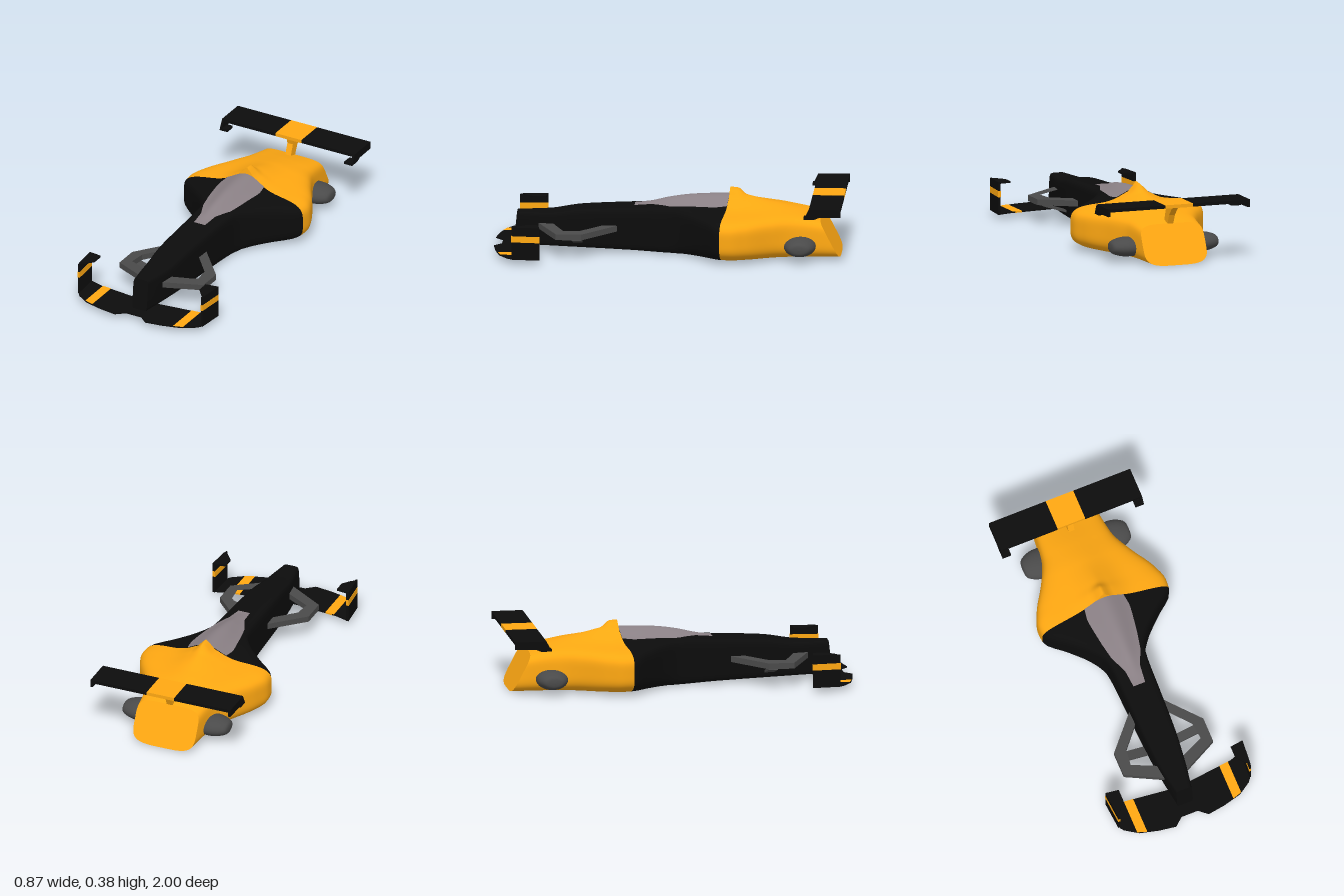
import * as THREE from 'three';

const mat = (color, opts = {}) => new THREE.MeshStandardMaterial({ color, ...opts });
const BLACK = mat(0x0c0c0c), ORANGE = mat(0xffa812), GREY = mat(0x4a4a4a);
const CANOPY = mat(0x8a8085, { side: THREE.DoubleSide });

// Hull stations: z, half width, bottom, shoulder top, hump height, hump width,
// squareness, end slope, seam bow, intake fin height
const STATIONS = [
  [0.87, 0.048, 0.03, 0.22, 0, 0.04, 7, 0.1, 0, 0],
  [0.7, 0.076, 0.028, 0.223, 0, 0.04, 7, 0, 0, 0],
  [0.5, 0.094, 0.023, 0.25, 0, 0.04, 7, 0, 0, 0],
  [0.2, 0.105, 0.012, 0.265, 0, 0.04, 7, 0, 0, 0],
  [0.1, 0.108, 0.006, 0.269, 0.015, 0.045, 7, 0, 0, 0],
  [0, 0.118, 0.001, 0.271, 0.037, 0.06, 6.5, 0, 0, 0],
  [-0.1, 0.178, 0, 0.27, 0.053, 0.08, 5.5, 0, 0, 0],
  [-0.2, 0.28, 0, 0.266, 0.064, 0.1, 4.8, 0, 0, 0],
  [-0.305, 0.39, 0, 0.262, 0.072, 0.115, 4.5, 0, 0.04, 0.042],
  [-0.36, 0.394, 0, 0.262, 0.072, 0.12, 4.5, 0, 0.03, 0.038],
  [-0.45, 0.366, 0, 0.262, 0.06, 0.12, 4.5, 0, 0, 0.008],
  [-0.6, 0.278, 0, 0.26, 0.031, 0.12, 4.5, 0, 0, 0],
  [-0.73, 0.213, 0, 0.247, 0.014, 0.12, 4.8, 0.2, 0, 0],
  [-0.865, 0.192, 0, 0.223, 0, 0.12, 5, -0.52, 0, 0],
];
STATIONS[12][7] = -0.2;

// Monotone smooth interpolation between stations
function station(z) {
  const S = STATIONS, last = S.length - 2;
  let i = 0;
  while (i < last && z < S[i + 1][0]) i++;
  const dz = S[i + 1][0] - S[i][0], u = (z - S[i][0]) / dz;
  const slope = (a, c) => (S[a + 1][c] - S[a][c]) / (S[a + 1][0] - S[a][0]);
  const tangent = (k, c) => {
    if (k === 0) return slope(0, c);
    if (k === S.length - 1) return slope(k - 1, c);
    const a = slope(k - 1, c), b = slope(k, c);
    return a * b <= 0 ? 0 : (2 * a * b) / (a + b);
  };
  return S[i].map((v, c) => {
    if (c === 0) return z;
    const u2 = u * u, u3 = u2 * u;
    return v * (2 * u3 - 3 * u2 + 1) + S[i + 1][c] * (3 * u2 - 2 * u3)
      + dz * (tangent(i, c) * (u3 - 2 * u2 + u) + tangent(i + 1, c) * (u3 - u2));
  });
}

// Adds the hump, fin, end slope and seam bow to a point of the basic section
function shapePoint(st, x, y, upper, fin) {
  const [z, w, , t, h, s, , k, bow, p] = st;
  const zz = z + k * (t - y) - bow * (1 - Math.abs(x) / w);
  if (upper) y += h * Math.exp(-((x / s) ** 2)) + fin * p * Math.max(0, 1 - Math.abs(x) / 0.05);
  return [x, y, zz];
}

function ring(z, fin, N) {
  const st = station(z), [, w, b, t, , , n] = st;
  const mid = (b + t) / 2, h = (t - b) / 2, out = [];
  for (let j = 0; j < N; j++) {
    const a = (j / N) * Math.PI * 2, c = Math.cos(a), s = Math.sin(a);
    const e = s > 0 ? n : n > 6 ? n : n - 1;
    const r = (Math.abs(c) ** e + Math.abs(s) ** e) ** (-1 / e);
    out.push(shapePoint(st, w * r * c, mid + h * r * s, s > 0.5, fin));
  }
  return out;
}

// Closed loft from front to rear with flat caps
function hull(name, z0, z1, fin, material) {
  const N = 144, M = 44, pos = [], idx = [];
  for (let i = 0; i <= M; i++) pos.push(...ring(z0 + ((z1 - z0) * i) / M, fin, N).flat());
  for (let i = 0; i < M; i++) for (let j = 0; j < N; j++) {
    const a = i * N + j, b = i * N + (j + 1) % N;
    idx.push(a, a + N, b, b, a + N, b + N);
  }
  for (const [z, front] of [[z0, true], [z1, false]]) {
    const rim = ring(z, fin, N), base = pos.length / 3;
    const centre = [0, 1, 2].map((c) => rim.reduce((sum, p) => sum + p[c], 0) / N);
    pos.push(...rim.flat(), ...centre);
    for (let j = 0; j < N; j++) {
      const a = base + j, b = base + (j + 1) % N;
      idx.push(base + N, front ? a : b, front ? b : a);
    }
  }
  return mesh(name, surface(pos, idx), material);
}

function surface(pos, idx) {
  const g = new THREE.BufferGeometry();
  g.setAttribute('position', new THREE.Float32BufferAttribute(pos, 3));
  g.setIndex(idx);
  g.computeVertexNormals();
  return g;
}

function mesh(name, geometry, material) {
  const m = new THREE.Mesh(geometry, material);
  m.name = name;
  return m;
}

// Canopy skin lying just above the hull
function canopy() {
  const outline = [[0.2, 0.036], [0.1, 0.046], [0, 0.088], [-0.1, 0.108], [-0.25, 0.13], [-0.305, 0.12]];
  const pos = [], idx = [], M = 30, N = 24;
  for (let i = 0; i <= M; i++) {
    const z = 0.2 - (0.505 * i) / M, st = station(z), [, w, b, t, , , n] = st;
    let k = 0;
    while (k < outline.length - 2 && z < outline[k + 1][0]) k++;
    const [za, wa] = outline[k], [zb, wb] = outline[k + 1];
    const half = wa + ((wb - wa) * (z - za)) / (zb - za);
    for (let j = 0; j <= N; j++) {
      const x = half * ((2 * j) / N - 1);
      const y = (b + t) / 2 + ((t - b) / 2) * (1 - Math.abs(x / w) ** n) ** (1 / n);
      const p = shapePoint(st, x, y, true, 0);
      pos.push(p[0], p[1] + 0.004, p[2]);
    }
  }
  for (let i = 0; i < M; i++) for (let j = 0; j < N; j++) {
    const a = i * (N + 1) + j, c = a + N + 1;
    idx.push(a, a + 1, c, a + 1, c + 1, c);
  }
  return mesh('canopy', surface(pos, idx), CANOPY);
}

// Horizontal plate from an [x, z] plan
function plate(name, plan, y, thick, material, side = 1, hole) {
  const pts = (list) => list.map(([x, z]) => new THREE.Vector2(x * side, -z));
  const shape = new THREE.Shape(pts(plan));
  if (hole) shape.holes.push(new THREE.Path(pts(hole)));
  const g = new THREE.ExtrudeGeometry(shape, { depth: thick, bevelEnabled: false });
  return mesh(name, g.rotateX(-Math.PI / 2).translate(0, y, 0), material);
}

// Upright plate from a [z, y] profile, centred on x
function upright(name, profile, x, thick, material) {
  const shape = new THREE.Shape(profile.map(([z, y]) => new THREE.Vector2(-z, y)));
  const g = new THREE.ExtrudeGeometry(shape, { depth: thick, bevelEnabled: false });
  return mesh(name, g.rotateY(Math.PI / 2).translate(x - thick / 2, 0, 0), material);
}

function box(name, w, h, d, x, y, z, material) {
  return mesh(name, new THREE.BoxGeometry(w, h, d).translate(x, y, z), material);
}

export function createModel() {
  const g = new THREE.Group();
  g.name = 'racingCraft';
  g.add(hull('frontHull', 0.87, -0.305, 0, BLACK), hull('rearHull', -0.305, -0.865, 1, ORANGE), canopy());

  // Rear wing on its pylon
  for (const s of [1, -1]) {
    g.add(box('rearWingPanel', 0.35, 0.018, 0.18, s * 0.26, 0.345, -0.91, BLACK));
    g.add(upright('rearWingEndplate', [[-0.82, 0.354], [-1, 0.354], [-1, 0.31], [-0.88, 0.308], [-0.85, 0.295], [-0.79, 0.295]], s * 0.428, 0.014, BLACK));
    g.add(box('rearWingLip', 0.05, 0.014, 0.06, s * 0.408, 0.302, -0.82, BLACK));
  }
  g.add(box('rearWingCentre', 0.17, 0.02, 0.18, 0, 0.345, -0.91, ORANGE));
  g.add(upright('rearWingPylon', [[-0.81, 0.22], [-0.865, 0.22], [-0.89, 0.275], [-0.95, 0.337], [-0.83, 0.337], [-0.84, 0.3]], 0, 0.036, ORANGE));

  // Front wing blade
  const half = [[0.05, 0.955], [0.1, 0.998], [0.2, 0.983], [0.31, 0.955], [0.385, 0.905], [0.4, 0.885], [0.418, 0.72], [0.335, 0.745], [0.07, 0.775]];
  const mirrored = half.map(([x, z]) => [-x, z]).reverse();
  g.add(plate('frontWing', [...half, ...mirrored], 0.028, 0.007, BLACK));

  const frame = [[0.05, 0.25], [0.1, 0.295], [0.275, 0.49], [0.275, 0.635], [0.07, 0.745], [0.04, 0.745]];
  const opening = [[0.07, 0.345], [0.205, 0.5], [0.215, 0.595], [0.07, 0.665]];
  for (const s of [1, -1]) {
    g.add(plate('frontWingStripe', [[0.265, 0.752], [0.32, 0.747], [0.32, 0.948], [0.265, 0.966]], 0.027, 0.0095, ORANGE, s));
    g.add(plate('frontEndplate', [[0.398, 0.88], [0.408, 0.88], [0.422, 0.72], [0.408, 0.72]], 0.028, 0.187, BLACK, s));
    g.add(plate('frontEndplateStripe', [[0.397, 0.881], [0.4095, 0.881], [0.4235, 0.719], [0.4065, 0.719]], 0.13, 0.036, ORANGE, s));
    g.add(plate('frontEndplateFlap', [[0.41, 0.865], [0.385, 0.85], [0.345, 0.8], [0.345, 0.73], [0.422, 0.72]], 0.207, 0.01, BLACK, s));

    // Open wishbone frame, drooping outwards
    const arm = plate('wishbone', frame, 0.13, 0.034, GREY, s, opening);
    const p = arm.geometry.attributes.position;
    for (let i = 0; i < p.count; i++) p.setY(i, p.getY(i) - 0.075 * (Math.abs(p.getX(i)) - 0.06));
    arm.geometry.computeVertexNormals();
    g.add(arm);

    // Lower strut
    const strut = box('lowerStrut', 0.18, 0.014, 0.055, 0, 0, 0, GREY);
    strut.position.set(s * 0.14, 0.08, 0.52);
    strut.rotation.z = s * 0.3;
    g.add(strut);

    // Side pod bulging from the rear flank
    const curve = new THREE.SplineCurve([[1, 0], [1, 0.05], [0.85, 0.095], [0.55, 0.13], [0.001, 0.137]].map((v) => new THREE.Vector2(...v)));
    const pod = mesh('sidePod', new THREE.LatheGeometry(curve.getPoints(16), 32), GREY);
    pod.scale.set(0.055, 1, 0.09);
    pod.rotation.z = -s * Math.PI / 2;
    pod.position.set(s * 0.19, 0.085, -0.755);
    g.add(pod);
  }
  return g;
}
